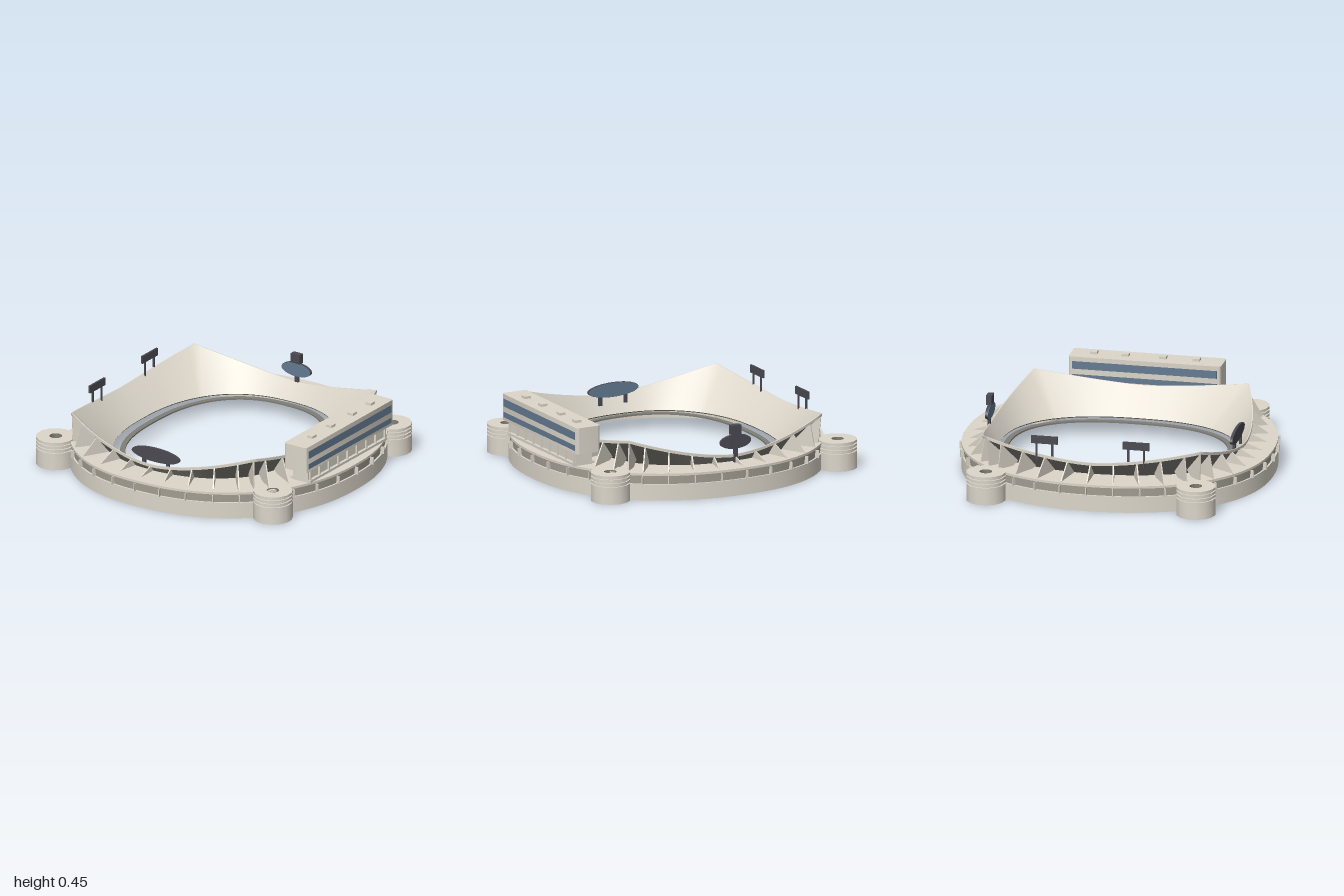
import * as THREE from 'three';
import { toCreasedNormals } from 'three/addons/utils/BufferGeometryUtils.js';

const CX = -0.04, CZ = -0.015; // centre of the bowl

const material = (name, color) => {
  const m = new THREE.MeshStandardMaterial({ color, side: THREE.DoubleSide });
  m.name = name;
  return m;
};

// Radii and rim height along a ray; u runs 0..4 over front, right, back, left
function section(u) {
  const side = Math.floor(u) % 4, t = 2 * (u - Math.floor(u)) - 1;
  const out = 0.688 + [0.137, 0.09, 0.13, 0.1][side] * (1 - t * t), along = 0.688 * t;
  const [x, z] = [[along, out], [out, -along], [-along, -out], [-out, along]][side];
  const mid = side % 2 ? 0.28 : 0.225;
  const rim = Math.hypot(x, z), c = x / rim, s = z / rim;
  const oval = (a, b, n) => (Math.abs(c / a) ** n + Math.abs(s / b) ** n) ** (-1 / n);
  return {
    c, s, rim,
    h: mid + (0.37 - mid) * Math.abs(t) ** 1.6,
    inner: oval(0.615, 0.75, 2.4),
    track: oval(0.56, 0.725, 2.4),
    wall: oval(c > 0 ? 1.0 : 0.91, s > 0 ? 0.998 : 0.973, c > 0 ? 2.25 : 2.2),
  };
}

// Sweeps a radial profile of [radius, height] points right around the bowl
function sweep(profile, steps = 128) {
  const pos = [], idx = [];
  const rows = Array.from({ length: steps }, (_, i) => {
    const q = section((4 * i) / steps);
    return profile(q).map(([r, y]) => [CX + r * q.c, y, CZ + r * q.s]);
  });
  for (let k = 0; k + 1 < rows[0].length; k++) {
    const base = pos.length / 3;
    rows.forEach((row, i) => {
      pos.push(...row[k], ...row[k + 1]);
      const a = base + 2 * i, b = base + 2 * ((i + 1) % steps);
      idx.push(a, a + 1, b, b, a + 1, b + 1);
    });
  }
  const g = new THREE.BufferGeometry();
  g.setAttribute('position', new THREE.Float32BufferAttribute(pos, 3));
  g.setIndex(idx);
  g.computeVertexNormals();
  return g;
}

// Upright block with rounded vertical edges, centred on its own origin
function roundedBlock(w, h, d, r) {
  const shape = new THREE.Shape();
  [[1, 1], [-1, 1], [-1, -1], [1, -1]].forEach(([sx, sy], i) => shape.absarc(
    sx * (w / 2 - r), sy * (d / 2 - r), r, i * Math.PI / 2, (i + 1) * Math.PI / 2));
  const g = new THREE.ExtrudeGeometry(shape, { depth: h, bevelEnabled: false, curveSegments: 4 });
  return toCreasedNormals(g.translate(0, 0, -h / 2).rotateX(-Math.PI / 2), 0.6);
}

export function createModel() {
  const model = new THREE.Group();
  model.name = 'stadium';
  const concrete = material('concrete', 0xdcd6ca);
  const band = material('midConcrete', 0xaaa599);
  const track = material('darkConcrete', 0x7f7e78);
  const dark = material('darkMetal', 0x4b4a52);
  const glass = material('blueGlass', 0x647a92);

  const add = (name, geo, mat, x = 0, y = 0, z = 0, parent = model) => {
    const m = new THREE.Mesh(geo, mat);
    m.name = name;
    m.position.set(x, y, z);
    parent.add(m);
    return m;
  };
  const box = (name, w, h, d, mat, x, y, z, parent) =>
    add(name, new THREE.BoxGeometry(w, h, d), mat, x, y, z, parent);

  // Seating bowl with a darker underside, rim, and ring round the field
  add('seatingBowl', sweep(q => [[q.inner, 0.115], [q.rim, q.h]]), concrete);
  add('bowlUnderside', sweep(q => [[q.inner, 0.115], [q.inner + 0.004, 0.108],
    [q.rim, q.h - 0.016]]), track);
  add('bowlRim', sweep(q => [[q.rim - 0.002, q.h], [q.rim + 0.005, q.h],
    [q.rim + 0.005, q.h - 0.018], [q.rim - 0.002, q.h - 0.018]]), concrete);
  add('fieldRing', sweep(q => [[q.track, 0.104], [q.track, 0.114],
    [q.track - 0.035, 0.114], [q.track - 0.035, 0.104], [q.track, 0.104]]), track);

  // Outer wall, recessed band and concourse roof
  add('outerWall', sweep(q => [[q.wall, 0], [q.wall, 0.105], [q.wall - 0.012, 0.105]]), concrete);
  add('wallBand', sweep(q => [[q.wall - 0.012, 0.105], [q.wall - 0.006, 0.16]]), band);
  add('concourseRoof', sweep(q => {
    const f = 0.06 / (q.h - 0.115);
    return [[q.wall - 0.006, 0.16], [q.wall, 0.16], [q.wall, 0.175],
      [q.inner + (q.rim - q.inner) * f + 0.008, 0.175]];
  }), concrete);

  // Buttress fins under the bowl and small ribs on the wall, with one at each corner
  for (let side = 0; side < 4; side++) {
    for (let k = -4; k <= 5; k++) {
      const q = section(side + (k === 5 ? 1 : 0.5 + k * 0.1075));
      const foot = Math.min(q.rim + (k === 5 ? 0.02 : 0.1), q.wall - 0.015);
      const start = q.inner + (q.rim - q.inner) * 0.4, startY = 0.115 + (q.h - 0.115) * 0.4;
      const shape = new THREE.Shape([
        [start, startY - 0.008], [foot, 0.11], [foot, 0.178], [q.rim, q.h - 0.01],
      ].map(p => new THREE.Vector2(...p)));
      const geo = new THREE.ExtrudeGeometry(shape, { depth: 0.008, bevelEnabled: false });
      geo.translate(0, 0, -0.004);
      const bay = new THREE.Group();
      bay.name = 'buttressBay';
      bay.position.set(CX, 0, CZ);
      bay.rotation.y = Math.atan2(-q.s, q.c);
      model.add(bay);
      add('buttressFin', geo, concrete, 0, 0, 0, bay);
      if (k < 5) box('wallRib', 0.03, 0.05, 0.006, concrete, q.wall, 0.13, 0, bay);
    }
  }

  // Hollow corner ramp towers with stacked rings and a dark shaft
  const lathe = points => toCreasedNormals(
    new THREE.LatheGeometry(points.map(p => new THREE.Vector2(...p)), 14), 0.6);
  const towerProfile = [[0.125, 0], [0.125, 0.112]];
  for (const y of [0.112, 0.136, 0.16]) {
    towerProfile.push([0.114, y], [0.114, y + 0.008], [0.125, y + 0.008], [0.125, y + 0.024]);
  }
  towerProfile.push([0.04, 0.184]);
  const towerGeo = lathe(towerProfile), shaftGeo = lathe([[0.04, 0.184], [0.04, 0.11]]);
  for (const [x, z] of [[-0.857, -0.68], [0.777, -0.695], [0.782, 0.655], [-0.852, 0.67]]) {
    add('rampTower', towerGeo, concrete, x, 0, z);
    add('towerShaft', shaftGeo, track, x, 0, z);
  }

  // Press box with window bands on both long sides
  const press = new THREE.Group();
  press.name = 'pressBox';
  model.add(press);
  add('pressBoxBody', roundedBlock(0.17, 0.17, 0.98, 0.018), concrete, 0.828, 0.35, -0.015, press);
  for (const x of [0.743, 0.913]) {
    box('upperWindows', 0.004, 0.05, 0.93, glass, x, 0.38, -0.015, press);
    box('lowerWindows', 0.004, 0.035, 0.93, glass, x, 0.302, -0.015, press);
  }
  for (const z of [-0.36, -0.155, 0.085, 0.3]) {
    box('roofUnit', 0.042, 0.016, 0.045, concrete, 0.835, 0.443, z, press);
  }
  box('pressBoxBase', 0.115, 0.1, 0.86, concrete, 0.828, 0.22, -0.015, press);
  box('pressBoxLedge', 0.15, 0.016, 0.86, concrete, 0.83, 0.187, -0.015, press);
  for (let i = 0; i < 9; i++) {
    box('pressBoxPost', 0.012, 0.1, 0.01, concrete, 0.895, 0.22, -0.435 + i * 0.105, press);
  }

  // Oval scoreboards: dark back, blue face toward the field
  const ovalBoard = (name, rx, ry, x, y, z, facing) => {
    const g = new THREE.Group();
    g.name = name;
    g.position.set(x, y, z);
    model.add(g);
    const disc = new THREE.CylinderGeometry(1, 1, 1, 40).rotateX(Math.PI / 2);
    add('boardBack', disc, dark, 0, 0, 0, g).scale.set(rx, ry, 0.016);
    add('boardFace', disc, glass, 0, 0, facing * 0.009, g).scale.set(rx * 0.98, ry * 0.97, 0.004);
    return g;
  };
  const front = ovalBoard('frontScoreboard', 0.18, 0.046, -0.035, 0.27, 0.755, -1);
  for (const x of [-0.09, 0.09]) box('boardPost', 0.022, 0.07, 0.016, dark, x, -0.06, 0, front);
  const back = ovalBoard('backScoreboard', 0.11, 0.046, -0.04, 0.308, -0.835, 1);
  box('boardTopBox', 0.068, 0.062, 0.038, dark, 0, 0.077, 0, back);
  box('boardPost', 0.028, 0.12, 0.016, dark, 0, -0.08, -0.004, back);

  // Side boards on legs above the left rim
  for (const z of [-0.315, 0.275]) {
    box('sideBoard', 0.012, 0.05, 0.17, dark, -0.805, 0.402, z);
    for (const dz of [-0.05, 0.05]) {
      box('sideBoardLeg', 0.01, 0.13, 0.012, dark, -0.805, 0.33, z + dz);
    }
  }
  return model;
}
